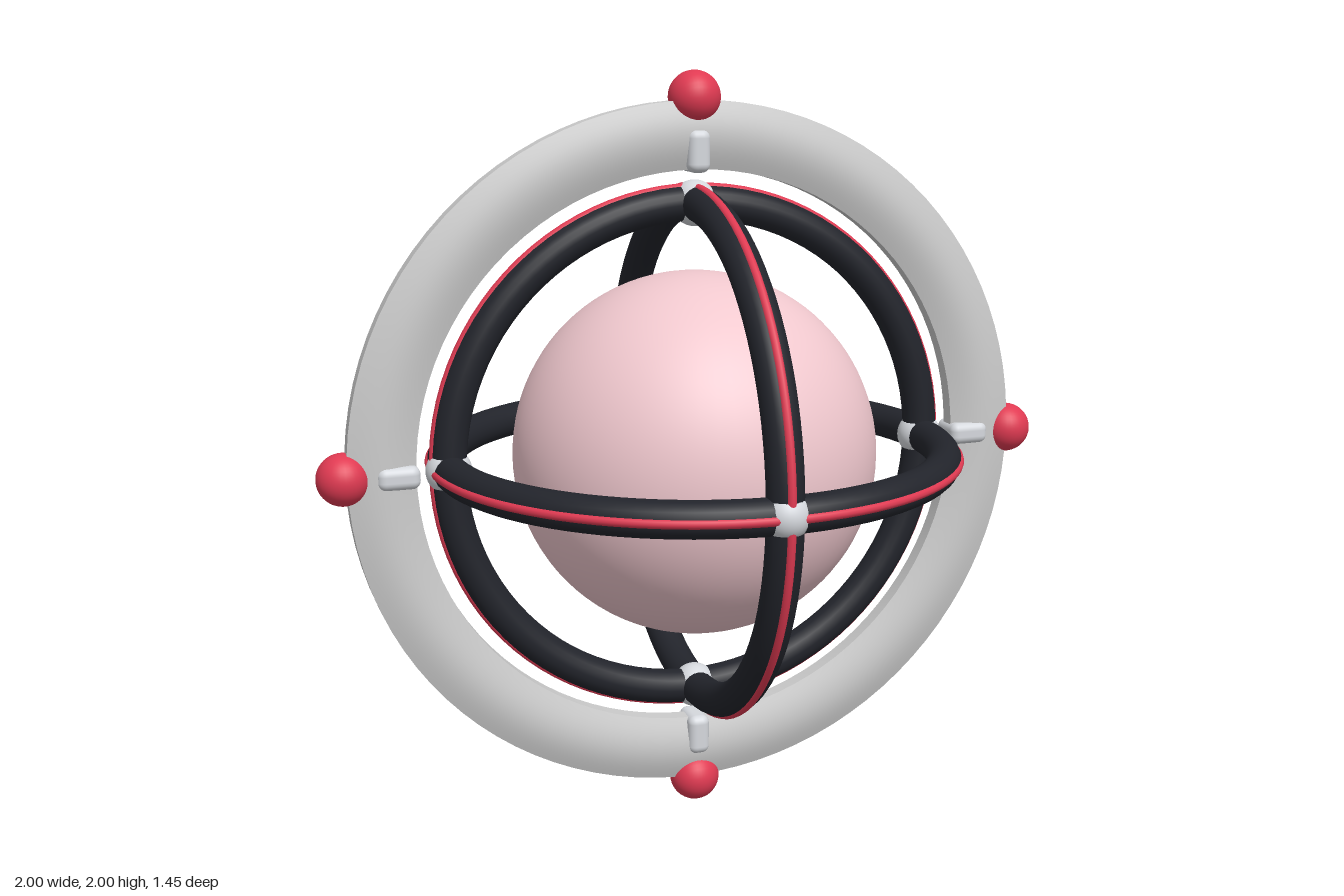
import * as THREE from 'three';
import { toCreasedNormals } from 'three/addons/utils/BufferGeometryUtils.js';
import { RoundedBoxGeometry } from 'three/addons/geometries/RoundedBoxGeometry.js';

const mat = (color) => new THREE.MeshStandardMaterial({ color });
const grey = mat(0xcccccc);
const silver = mat(0xd5d8dd);
const black = mat(0x22242b);
const red = mat(0xe03a52);
const pink = mat(0xf0c8ce);

const CAGE_R = 0.663; // centre line of the cage tubes

// Flat outer ring: thin rims joined by bulging faces
function outerRingGeometry() {
  const mid = 0.8375, half = 0.0875, steps = 12, pts = [];
  for (const side of [1, -1]) {
    for (let i = 0; i <= steps; i++) {
      const u = side * (1 - (2 * i) / steps);
      const h = 0.021 + 0.022 * Math.cos((u * Math.PI) / 2);
      pts.push(new THREE.Vector2(mid + half * u, side * h));
    }
  }
  pts.push(pts[0].clone());
  const geo = toCreasedNormals(new THREE.LatheGeometry(pts, 96), 0.7);
  return geo.rotateX(Math.PI / 2);
}

export function createModel() {
  const model = new THREE.Group();
  model.name = 'cagedSphere';
  const body = new THREE.Group();
  body.name = 'body';
  body.position.y = 1;
  model.add(body);

  const add = (name, geo, material, parent = body) => {
    const mesh = new THREE.Mesh(geo, material);
    mesh.name = name;
    parent.add(mesh);
    return mesh;
  };

  add('coreSphere', new THREE.SphereGeometry(0.485, 64, 48), pink);
  add('outerRing', outerRingGeometry(), grey);

  // Three perpendicular cage rings, each with a stripe on its outer edge
  const tube = new THREE.TorusGeometry(CAGE_R, 0.046, 20, 96);
  const stripe = new THREE.TorusGeometry(0.703, 0.012, 10, 96);
  const turns = { front: [0, 0], side: [0, Math.PI / 2], level: [Math.PI / 2, 0] };
  for (const [name, [rx, ry]] of Object.entries(turns)) {
    const ring = new THREE.Group();
    ring.name = name + 'CageRing';
    ring.rotation.set(rx, ry, 0);
    add(name + 'Tube', tube, black, ring);
    add(name + 'Stripe', stripe, red, ring);
    body.add(ring);
  }

  // Joints where the cage rings cross
  const joint = new THREE.SphereGeometry(0.06, 32, 24);
  for (const axis of ['x', 'y', 'z']) {
    for (const s of [1, -1]) {
      add('cageJoint', joint, silver).position[axis] = s * CAGE_R;
    }
  }

  // Clips and knobs at the four quarters of the outer ring
  const clip = new RoundedBoxGeometry(0.11, 0.06, 0.11, 4, 0.022);
  const knob = new THREE.SphereGeometry(0.068, 32, 24);
  for (let i = 0; i < 4; i++) {
    const mount = new THREE.Group();
    mount.name = 'ringMount';
    mount.rotation.z = (i * Math.PI) / 2;
    add('clip', clip, silver, mount).position.x = 0.797;
    add('knob', knob, red, mount).position.x = 0.932;
    body.add(mount);
  }
  return model;
}
